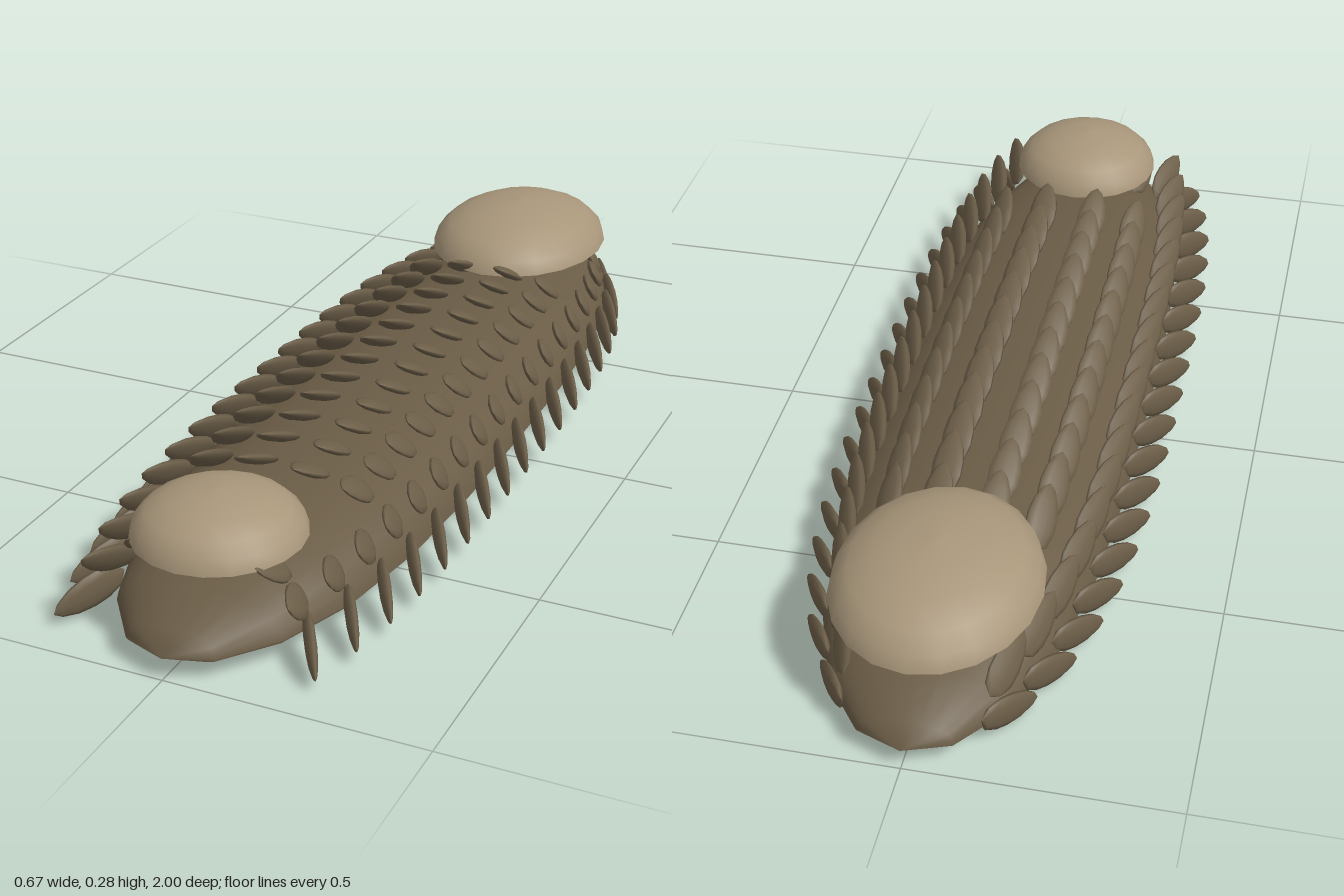
import * as THREE from 'three';
import { mergeVertices } from 'three/addons/utils/BufferGeometryUtils.js';

const mat = (name, color, side = THREE.FrontSide) => {
  const m = new THREE.MeshStandardMaterial({ color, side });
  m.name = name;
  return m;
};

const HALF_WIDTH = 0.27, RIM = 0.044, TOP = 0.122, BOTTOM = 0.044;
// Width factor along the body, tapering to zero at both ends
const taper = z => Math.sqrt(Math.max(0, 1 - Math.abs(z) ** 3.3));
const surface = (side, angle, z) => new THREE.Vector3(
  side * HALF_WIDTH * taper(z) * Math.cos(angle),
  RIM + TOP * taper(z) * Math.sin(angle), z);

// Half of the slug-like body: a half sphere reshaped into a long dome or a shallow sole
function bodyGeometry(phiStart, height) {
  let g = new THREE.SphereGeometry(1, 12, 12, phiStart, Math.PI).rotateX(Math.PI / 2);
  g.deleteAttribute('uv');
  g.deleteAttribute('normal');
  const p = g.attributes.position;
  for (let i = 0; i < p.count; i++) {
    const z = p.getZ(i), r = Math.hypot(p.getX(i), p.getY(i)) || 1, s = taper(z);
    p.setXYZ(i, HALF_WIDTH * s * p.getX(i) / r, RIM + height * s * p.getY(i) / r, z);
  }
  g = mergeVertices(g, 1e-4);
  g.computeVertexNormals();
  return g;
}

// Flattened leaf of unit length along y, broad near the base and pointed at the tip
function scaleGeometry() {
  const profile = [[0, 0], [0.36, 0.1], [0.49, 0.3], [0.5, 0.5], [0.41, 0.72], [0.22, 0.91], [0, 1]];
  return new THREE.LatheGeometry(profile.map(([x, y]) => new THREE.Vector2(x, y)), 10);
}

// Domed cap shell with a shallow underside
function shell(name, z, y, rx, rz, height, material) {
  const group = new THREE.Group();
  group.name = name;
  const dome = [];
  for (let i = 0; i <= 5; i++) {
    const a = (i / 5) * Math.PI / 2;
    dome.push(new THREE.Vector2(Math.max(0, Math.cos(a)), Math.sin(a) * height));
  }
  const under = [[0, -0.009], [0.6, -0.007], [1, 0]].map(([x, h]) => new THREE.Vector2(x, h));
  for (const [part, pts] of [['Dome', dome], ['Underside', under]]) {
    const m = new THREE.Mesh(new THREE.LatheGeometry(pts, 20), material);
    m.name = name + part;
    m.scale.set(rx, 1, rz);
    group.add(m);
  }
  group.position.set(0, y, z);
  return group;
}

export function createModel() {
  const model = new THREE.Group();
  model.name = 'armouredSlug';
  const bodyMat = mat('bodyBrown', 0x6a5c46);
  const soleMat = mat('soleTan', 0xa08a6c);
  const scaleMat = mat('scaleBrown', 0x6e604a, THREE.DoubleSide);
  const shellMat = mat('shellTan', 0xa8967a, THREE.DoubleSide);

  const body = new THREE.Mesh(bodyGeometry(Math.PI, TOP), bodyMat);
  body.name = 'body';
  const sole = new THREE.Mesh(bodyGeometry(0, BOTTOM), soleMat);
  sole.name = 'sole';
  model.add(body, sole);

  model.add(shell('frontShell', 0.78, 0.178, 0.16, 0.16, 0.085, shellMat));
  model.add(shell('rearShell', -0.71, 0.18, 0.195, 0.24, 0.098, shellMat));

  // Rows of scales: angle round the body, z of each base, direction, size.
  // Upright scales stand on edge; the others lie along the body surface.
  const spread = (from, to, n) => Array.from({ length: n }, (_, i) => THREE.MathUtils.lerp(from, to, i / (n - 1)));
  const backZ = [...spread(-0.55, 0.475, 12), 0.76];
  const rows = [
    { name: 'innerBackScale', angle: 78, z: backZ, dir: [0.03, 0.45, 0.88], size: [0.064, 0.14, 0.022] },
    { name: 'outerBackScale', angle: 55, z: backZ, dir: [0.05, 0.45, 0.88], size: [0.066, 0.14, 0.022] },
    { name: 'flankScale', angle: 33, z: spread(-0.88, 0.79, 18), dir: [0.25, 0.35, 0.88], size: [0.068, 0.14, 0.022] },
    { name: 'edgeSpine', angle: 18, z: spread(-0.92, 0.81, 18), dir: [0.5, -0.3, 0.8], size: [0.068, 0.15, 0.022], upright: true },
  ];
  const leaf = scaleGeometry();
  for (const row of rows) {
    const a = THREE.MathUtils.degToRad(row.angle);
    for (const side of [-1, 1]) {
      const group = new THREE.Group();
      group.name = (side > 0 ? 'left' : 'right') + row.name[0].toUpperCase() + row.name.slice(1) + 's';
      const dir = new THREE.Vector3(side * row.dir[0], row.dir[1], row.dir[2]).normalize();
      const normal = row.upright
        ? new THREE.Vector3(dir.z, 0, -dir.x)
        : new THREE.Vector3(side * Math.cos(a), Math.sin(a), 0);
      const across = new THREE.Vector3().crossVectors(dir, normal).normalize();
      const thin = new THREE.Vector3().crossVectors(across, dir);
      const turn = new THREE.Matrix4().makeBasis(across, dir, thin);
      for (const z of row.z) {
        const m = new THREE.Mesh(leaf, scaleMat);
        m.name = row.name;
        m.quaternion.setFromRotationMatrix(turn);
        m.scale.set(...row.size);
        m.position.copy(surface(side, a, z));
        group.add(m);
      }
      model.add(group);
    }
  }
  return model;
}
